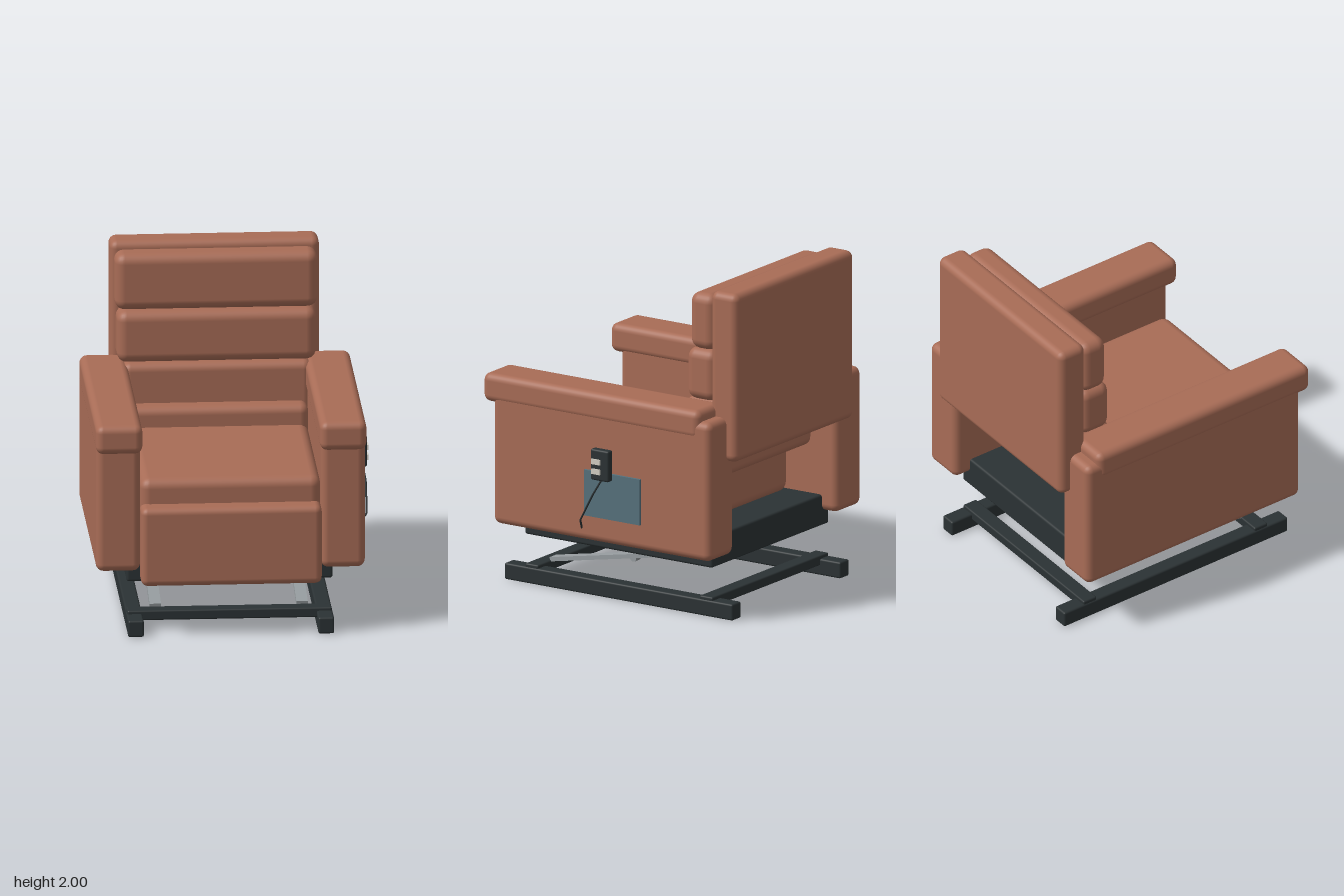
import * as THREE from 'three';
import { RoundedBoxGeometry } from 'three/addons/geometries/RoundedBoxGeometry.js';

const mat = (color) => new THREE.MeshStandardMaterial({ color });
const leather = mat(0xa86c56);
const frame = mat(0x2b3234);
const steel = mat(0x969c9f);
const fabric = mat(0x56717c);
const buttonMat = mat(0xd2cec2);

export function createModel() {
  const model = new THREE.Group();
  model.name = 'liftChair';
  const cx = -0.034; // the chair sits slightly left of centre because of the remote

  // Rounded box from its bounds: [min, max] along each axis
  function box(name, material, [x0, x1], [y0, y1], [z0, z1], radius, parent = model) {
    const w = x1 - x0, h = y1 - y0, d = z1 - z0;
    const geometry = radius
      ? new RoundedBoxGeometry(w, h, d, 3, radius)
      : new THREE.BoxGeometry(w, h, d);
    const mesh = new THREE.Mesh(geometry, material);
    mesh.position.set((x0 + x1) / 2, (y0 + y1) / 2, (z0 + z1) / 2);
    mesh.name = name;
    parent.add(mesh);
    return mesh;
  }
  const wide = (half) => [cx - half, cx + half];

  // Backrest shell and its stacked cushions
  box('backrest', leather, wide(0.62), [0.97, 2.0], [-0.86, -0.67], 0.045);
  box('headCushion', leather, wide(0.6), [1.62, 1.965], [-0.68, -0.5], 0.06);
  box('shoulderCushion', leather, wide(0.59), [1.305, 1.62], [-0.68, -0.47], 0.06);
  box('lumbarCushion', leather, wide(0.56), [0.99, 1.31], [-0.68, -0.445], 0.05);
  box('lowerBackCushion', leather, wide(0.535), [0.79, 1.07], [-0.62, -0.34], 0.05);

  // Seat and folded footrest
  box('seatCushion', leather, wide(0.535), [0.48, 0.95], [-0.45, 0.75], 0.06);
  box('footrest', leather, wide(0.535), [0.32, 0.8], [0.68, 0.86], 0.04);

  // Armrests, mirrored about the chair's centre
  for (const s of [-1, 1]) {
    const side = s > 0 ? 'left' : 'right';
    const span = (a, b) => [cx + s * a, cx + s * b].sort((p, q) => p - q);
    box(side + 'ArmBody', leather, span(0.534, 0.796), [0.39, 1.24], [-0.79, 0.77], 0.045);
    box(side + 'ArmPad', leather, span(0.525, 0.801), [1.13, 1.305], [-0.712, 0.84], 0.045);

    // Floor rail and lifting link
    box(side + 'FloorRail', frame, span(0.516, 0.61), [0, 0.1], [-0.825, 0.81], 0.012);
    const low = new THREE.Vector2(0.58, 0.125), high = new THREE.Vector2(-0.42, 0.315);
    const mid = low.clone().add(high).multiplyScalar(0.5);
    const link = new THREE.Mesh(
      new THREE.BoxGeometry(0.068, 0.026, low.distanceTo(high)), steel);
    link.position.set(cx + s * 0.434, mid.y, mid.x);
    link.rotation.x = Math.atan2(high.y - low.y, low.x - high.x);
    link.name = side + 'LiftLink';
    model.add(link);
    const pivot = new THREE.Mesh(new THREE.CylinderGeometry(0.022, 0.022, 0.05, 16), steel);
    pivot.rotation.z = Math.PI / 2;
    pivot.position.set(cx + s * 0.434, 0.223, -0.01);
    pivot.name = side + 'LinkPivot';
    model.add(pivot);
  }

  // Seat base and floor cross bars
  box('seatBase', frame, wide(0.61), [0.3, 0.49], [-0.68, 0.665], 0.015);
  box('frontCrossBar', frame, wide(0.605), [0.06, 0.12], [0.57, 0.665], 0.01);
  box('rearCrossBar', frame, wide(0.605), [0.06, 0.12], [-0.68, -0.585], 0.01);

  // Side pocket with the wired remote
  box('sidePocket', fabric, [0.755, 0.779], [0.55, 0.83], [-0.3, 0.1], 0);
  const remote = new THREE.Group();
  remote.name = 'remote';
  model.add(remote);
  box('remoteBody', frame, [0.773, 0.822], [0.79, 0.98], [-0.105, 0.025], 0.012, remote);
  for (const y of [0.83, 0.89]) {
    box('remoteButton', buttonMat, [0.815, 0.832], [y, y + 0.032], [-0.05, 0.012], 0, remote);
  }
  const cordPath = new THREE.CurvePath();
  const points = [[0.797, 0.8, -0.045], [0.815, 0.7, 0.01], [0.815, 0.53, 0.1], [0.755, 0.46, 0.13]]
    .map((p) => new THREE.Vector3(...p));
  for (let i = 0; i < 3; i++) cordPath.add(new THREE.LineCurve3(points[i], points[i + 1]));
  const cord = new THREE.Mesh(new THREE.TubeGeometry(cordPath, 36, 0.006, 8), frame);
  cord.name = 'remoteCord';
  remote.add(cord);

  return model;
}
